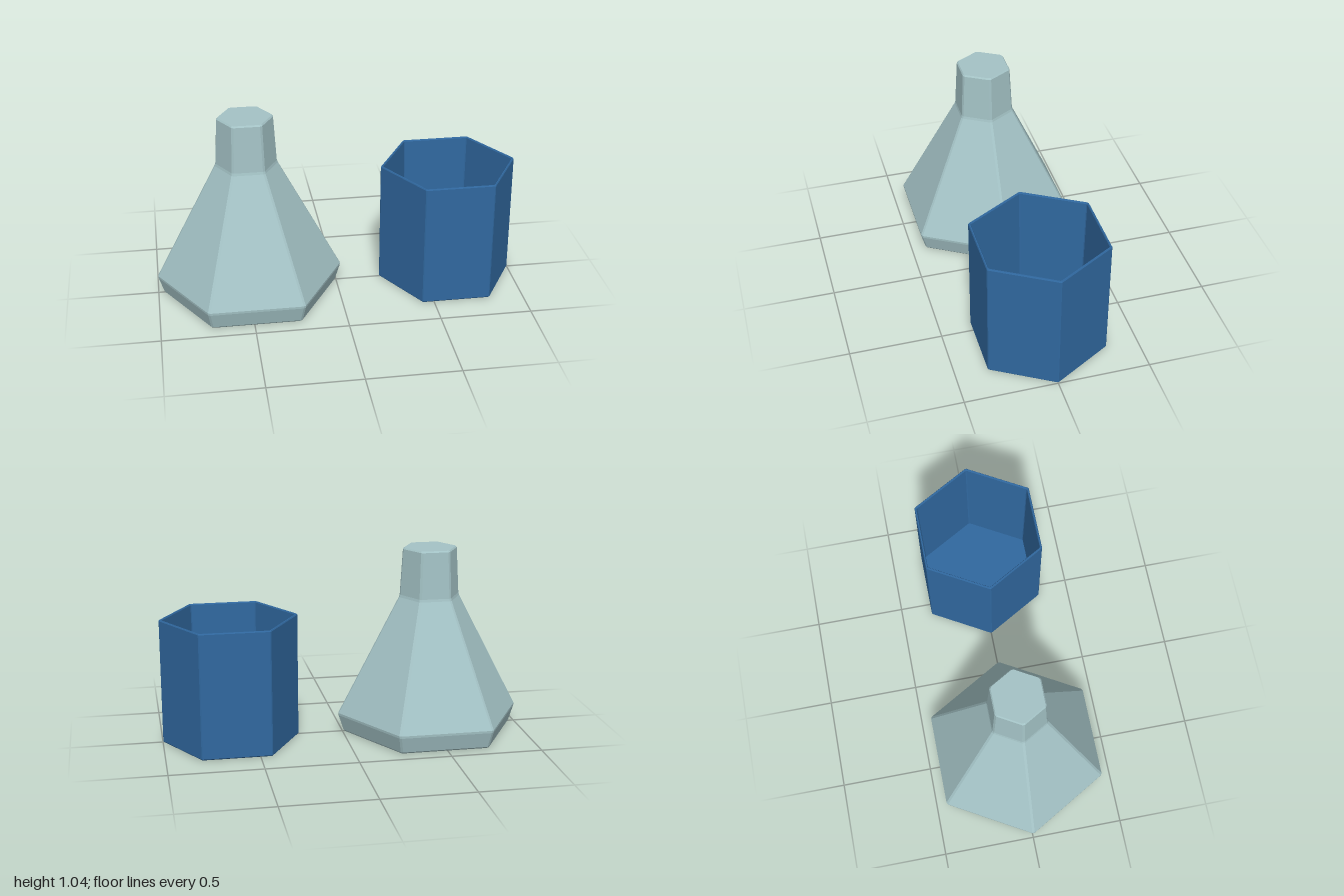
import * as THREE from 'three';

// Six-sided ring with slightly cut corners, one corner pointing along +x
function hexRing(radius, y, cut) {
  const ring = [];
  const corner = (i) => new THREE.Vector3(
    radius * Math.cos((i * Math.PI) / 3), y, -radius * Math.sin((i * Math.PI) / 3));
  for (let i = 0; i < 6; i++) {
    const c = corner(i);
    for (const next of [i - 1, i + 1]) {
      ring.push(c.clone().lerp(corner(next), cut / radius));
    }
  }
  return ring;
}

// Joins rings [radius, height] in order and closes both ends
function hexSolid(profile, cut) {
  const pos = [];
  const tri = (...pts) => pts.forEach((p) => pos.push(p.x, p.y, p.z));
  const rings = profile.map(([r, y]) => hexRing(r, y, cut));
  const n = 12;
  for (let k = 0; k < rings.length - 1; k++) {
    for (let i = 0; i < n; i++) {
      const j = (i + 1) % n;
      const a = rings[k][i], b = rings[k][j], c = rings[k + 1][j], d = rings[k + 1][i];
      tri(a, b, c);
      tri(a, c, d);
    }
  }
  const first = rings[0], last = rings[rings.length - 1];
  for (let i = 1; i < n - 1; i++) {
    tri(first[0], first[i + 1], first[i]);
    tri(last[0], last[i], last[i + 1]);
  }
  const geo = new THREE.BufferGeometry();
  geo.setAttribute('position', new THREE.Float32BufferAttribute(pos, 3));
  geo.computeVertexNormals();
  return geo;
}

export function createModel() {
  const group = new THREE.Group();
  const paleTeal = new THREE.MeshStandardMaterial({ color: 0xa4c3c6, flatShading: true });
  paleTeal.name = 'paleTeal';
  const blue = new THREE.MeshStandardMaterial({ color: 0x30689f, flatShading: true });
  blue.name = 'blue';

  // Faceted flask: chamfered foot, sloping body, tapered neck, closed top
  const flask = new THREE.Mesh(hexSolid([
    [0.476, 0], [0.484, 0.008], [0.512, 0.095], [0.513, 0.108],
    [0.173, 0.76], [0.169, 0.774], [0.154, 1.028], [0.147, 1.036],
  ], 0.008), paleTeal);
  flask.name = 'flask';
  flask.position.x = -0.487;

  // Open cup: straight outside, thin rim, inside narrowing to the floor
  const cup = new THREE.Mesh(hexSolid([
    [0.37, 0], [0.376, 0.006], [0.376, 0.686], [0.372, 0.692],
    [0.366, 0.692], [0.362, 0.686], [0.346, 0.03],
  ], 0.004), blue);
  cup.name = 'cup';
  cup.position.x = 0.624;

  group.add(flask, cup);
  return group;
}
